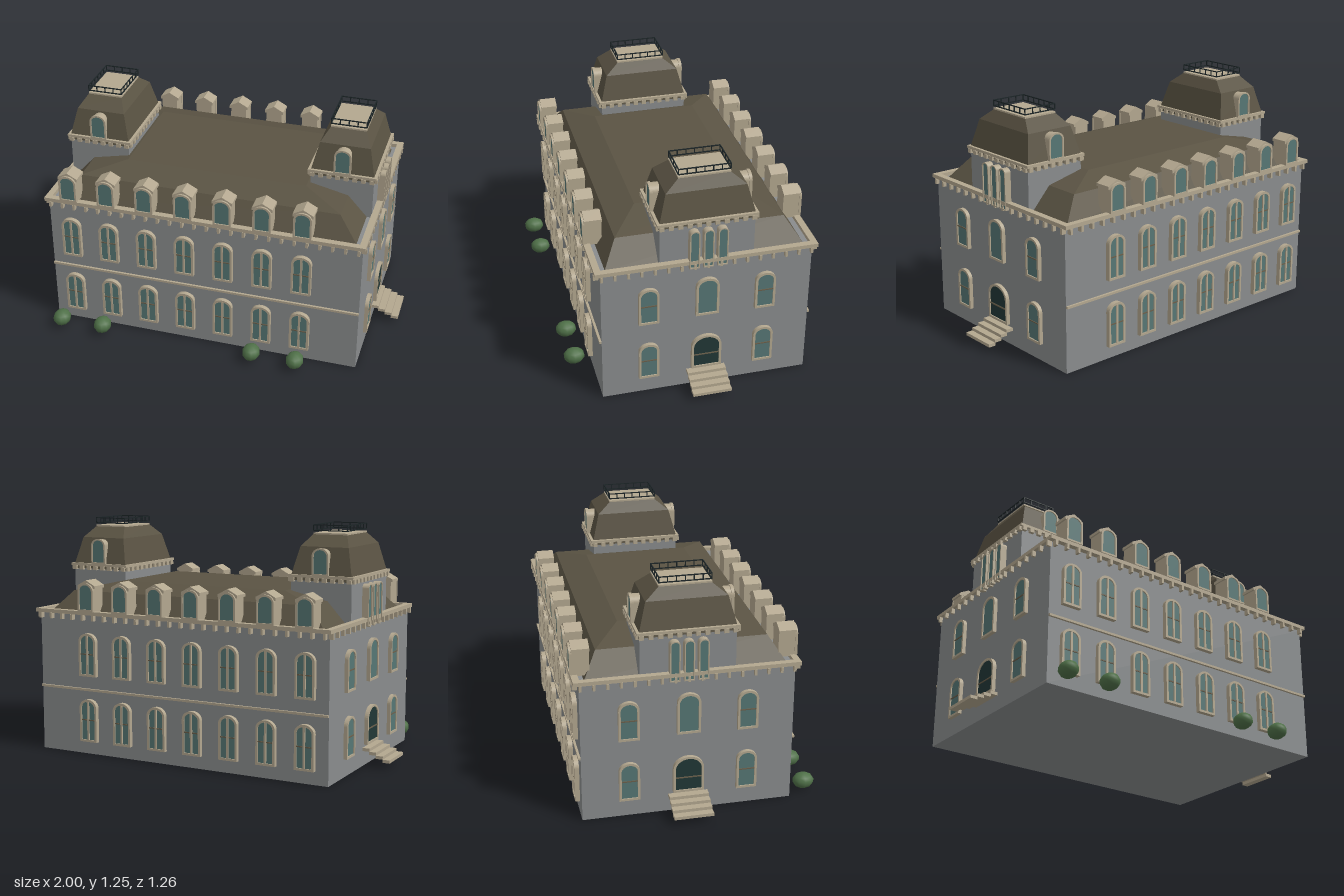
import * as THREE from 'three';

const mat = (name, color) => Object.assign(new THREE.MeshStandardMaterial({ color }), { name });
const WALL = mat('wall grey', 0x898c8d), TRIM = mat('stone trim', 0xb3a78f), ROOF = mat('roof brown', 0x5a5343),
  GLASS = mat('window teal', 0x567674), DOOR = mat('door dark teal', 0x213736), IRON = mat('iron black', 0x1c2527),
  BAR = mat('sash brown', 0x6a5f4b), LEAF = mat('bush green', 0x4f7048);

function add(parent, name, geo, material, x = 0, y = 0, z = 0) {
  const m = new THREE.Mesh(geo, material);
  m.name = name;
  m.position.set(x, y, z);
  parent.add(m);
  return m;
}
const box = (parent, name, material, w, h, d, x, y, z) =>
  add(parent, name, new THREE.BoxGeometry(w, h, d), material, x, y, z);

function group(parent, name, x = 0, y = 0, z = 0, ry = 0) {
  const g = new THREE.Group();
  g.name = name;
  g.position.set(x, y, z);
  g.rotation.y = ry;
  parent.add(g);
  return g;
}

// Round-headed outline standing on y = b
function arch(path, w, b, h) {
  const r = w / 2, rise = r * 0.85;
  path.moveTo(-r, b);
  path.lineTo(r, b);
  path.lineTo(r, b + h - rise);
  path.absellipse(0, b + h - rise, r, rise, 0, Math.PI, false);
  path.lineTo(-r, b);
  return path;
}
const extrude = (shape, depth) => new THREE.ExtrudeGeometry(shape, { depth, bevelEnabled: false, curveSegments: 10 });

// Arched window facing +z: frame, pane and optional glazing bars
function archWindow(parent, name, x, y, w, h, { t = 0.012, depth = 0.024, pane = GLASS, mullion = false, rail = 0 } = {}) {
  const g = group(parent, name, x, y, 0);
  const frame = arch(new THREE.Shape(), w, 0, h);
  frame.holes.push(arch(new THREE.Path(), w - 2 * t, t, h - 2 * t));
  add(g, 'frame', extrude(frame, depth), TRIM);
  add(g, 'pane', extrude(arch(new THREE.Shape(), w - 2 * t, t, h - 2 * t), 0.006), pane, 0, 0, depth - 0.012);
  if (mullion) box(g, 'mullion', TRIM, 0.011, h - 2 * t, 0.008, 0, h / 2, depth - 0.003);
  if (rail) box(g, 'rail', BAR, w - 2 * t, 0.006, 0.006, 0, rail, depth - 0.005);
}

// Mansard roof through rectangular rings [halfX, halfZ, y]
function mansard(rings) {
  const pos = [];
  const corner = ([hx, hz, y], i) => [[-hx, y, hz], [hx, y, hz], [hx, y, -hz], [-hx, y, -hz]][i % 4];
  const quad = (a, b, c, d) => pos.push(...a, ...b, ...c, ...a, ...c, ...d);
  for (let k = 0; k < rings.length - 1; k++)
    for (let i = 0; i < 4; i++)
      quad(corner(rings[k], i), corner(rings[k], i + 1), corner(rings[k + 1], i + 1), corner(rings[k + 1], i));
  const top = rings[rings.length - 1];
  quad(...[0, 1, 2, 3].map(i => corner(top, i)));
  const geo = new THREE.BufferGeometry();
  geo.setAttribute('position', new THREE.Float32BufferAttribute(pos, 3));
  geo.computeVertexNormals();
  return geo;
}

// Rectangular ring of trim with brackets hanging below
function cornice(parent, hx, hz, y, h, band, bracket, step) {
  const g = group(parent, 'cornice');
  const [bw, bh, bd] = bracket;
  for (const s of [-1, 1]) {
    box(g, 'corniceLong', TRIM, 2 * hx, h, band, 0, y + h / 2, s * (hz - band / 2));
    box(g, 'corniceShort', TRIM, band, h, 2 * (hz - band), s * (hx - band / 2), y + h / 2, 0);
    const nx = Math.round(2 * hx / step), nz = Math.round(2 * hz / step);
    for (let i = 0; i < nx; i++)
      box(g, 'bracket', TRIM, bw, bh, bd, -hx + (i + 0.5) * 2 * hx / nx, y - bh / 2, s * (hz + 0.003 - bd / 2));
    for (let i = 0; i < nz; i++)
      box(g, 'bracket', TRIM, bd, bh, bw, s * (hx + 0.003 - bd / 2), y - bh / 2, -hz + (i + 0.5) * 2 * hz / nz);
  }
}

// Gabled dormer facing +z, its front at z = 0
function dormer(parent, x) {
  const g = group(parent, 'dormer', x, 0, 0);
  box(g, 'dormerBody', TRIM, 0.09, 0.14, 0.085, 0, 0.84, -0.0425);
  const gable = new THREE.Shape([[-0.054, 0.9], [0.054, 0.9], [0.054, 0.915], [0, 0.944], [-0.054, 0.915]]
    .map(p => new THREE.Vector2(...p)));
  add(g, 'dormerGable', extrude(gable, 0.09), TRIM, 0, 0, -0.086);
  archWindow(g, 'dormerWindow', 0, 0.778, 0.096, 0.15, { depth: 0.014, t: 0.01 });
}

function railing(parent, hx, hz, y0, y1) {
  const g = group(parent, 'railing'), t = 0.005;
  for (const s of [-1, 1]) {
    for (const y of [y0, y1]) {
      box(g, 'railLong', IRON, t, t, 2 * hz, s * hx, y, 0);
      box(g, 'railShort', IRON, 2 * hx, t, t, 0, y, s * hz);
    }
    for (let i = 0; i <= 6; i++) box(g, 'post', IRON, t, y1 - y0, t, s * hx, (y0 + y1) / 2, -hz + i * hz / 3);
    for (let i = 1; i < 4; i++) box(g, 'post', IRON, t, y1 - y0, t, -hx + i * hx / 2, (y0 + y1) / 2, s * hz);
  }
}

function tower(parent, side) {
  const g = group(parent, 'tower', side * 0.668, 0, 0);
  box(g, 'towerWalls', WALL, 0.332, 0.23, 0.484, 0, 0.86, 0);
  cornice(g, 0.18, 0.257, 0.985, 0.014, 0.03, [0.024, 0.022, 0.018], 0.045);
  add(g, 'towerRoof', mansard([[0.172, 0.25, 0.97], [0.165, 0.242, 1.0], [0.132, 0.205, 1.14], [0.094, 0.133, 1.197]]), ROOF);
  box(g, 'roofDeck', TRIM, 0.188, 0.01, 0.266, 0, 1.2, 0);
  railing(g, 0.093, 0.131, 1.217, 1.245);
  // Arched dormers on the front and back slopes
  for (const s of [1, -1]) {
    const d = group(g, 'towerDormer', 0, 0, s * 0.245, s > 0 ? 0 : Math.PI);
    add(d, 'dormerBody', extrude(arch(new THREE.Shape(), 0.078, 0.998, 0.134), 0.06), TRIM, 0, 0, -0.055);
    archWindow(d, 'dormerWindow', 0, 0.998, 0.09, 0.139, { depth: 0.016, t: 0.009 });
  }
  // Three tall lights on the outer wall
  const o = group(g, 'towerLights', side * 0.166, 0, 0, side * Math.PI / 2);
  for (const i of [-1, 0, 1]) archWindow(o, 'towerWindow', i * 0.072, 0.735, 0.052, 0.215, { t: 0.006, depth: 0.036 });
}

export function createModel() {
  const model = new THREE.Group();
  model.name = 'mansion';
  const house = group(model, 'house', 0, 0, -0.058);
  const HX = 0.85, HZ = 0.544;

  box(house, 'walls', WALL, 2 * HX, 0.757, 2 * HZ, 0, 0.3785, 0);
  cornice(house, 0.866, 0.572, 0.758, 0.02, 0.034, [0.013, 0.03, 0.026], 0.066);
  add(house, 'mainRoof', mansard([[0.81, 0.512, 0.755], [0.705, 0.437, 0.87], [0.49, 0.288, 0.918]]), ROOF);

  // Long facades with two rows of windows, a belt course and dormers
  for (const s of [1, -1]) {
    const f = group(house, s > 0 ? 'frontFacade' : 'backFacade', 0, 0, s * HZ, s > 0 ? 0 : Math.PI);
    box(f, 'beltCourse', TRIM, 2 * HX, 0.012, 0.012, 0, 0.352, 0.006);
    const dormers = group(f, 'dormers', 0, 0, 0.018);
    for (let i = 0; i < 7; i++) {
      const x = s * (-0.728 + i * 0.2115);
      for (const y of [0.07, 0.427]) archWindow(f, 'window', x, y, 0.106, 0.232, { mullion: true, rail: 0.12 });
      dormer(dormers, x);
    }
  }

  // End walls with door, windows, steps and tower
  for (const s of [1, -1]) {
    const e = group(house, s > 0 ? 'leftEnd' : 'rightEnd', s * HX, 0, 0, s * Math.PI / 2);
    for (const x of [-0.303, 0.303])
      for (const y of [0.095, 0.435]) archWindow(e, 'window', x, y, 0.106, 0.212, { rail: 0.108, depth: 0.02 });
    archWindow(e, 'middleWindow', 0, 0.443, 0.12, 0.22, { depth: 0.02 });
    archWindow(e, 'door', 0, 0.11, 0.158, 0.2, { pane: DOOR, rail: 0.082, depth: 0.02 });
    for (let i = 0; i < 4; i++)
      box(e, 'step', TRIM, 0.204, 0.0165, 0.039, 0, 0.0895 - i * 0.0165, 0.0195 + i * 0.037);
    tower(house, s);
  }

  // Bushes along the front
  for (const x of [-0.79, -0.55, 0.3, 0.54])
    add(model, 'bush', new THREE.SphereGeometry(1, 10, 7), LEAF, x, 0.05, 0.578).scale.set(0.048, 0.043, 0.057);
  return model;
}
